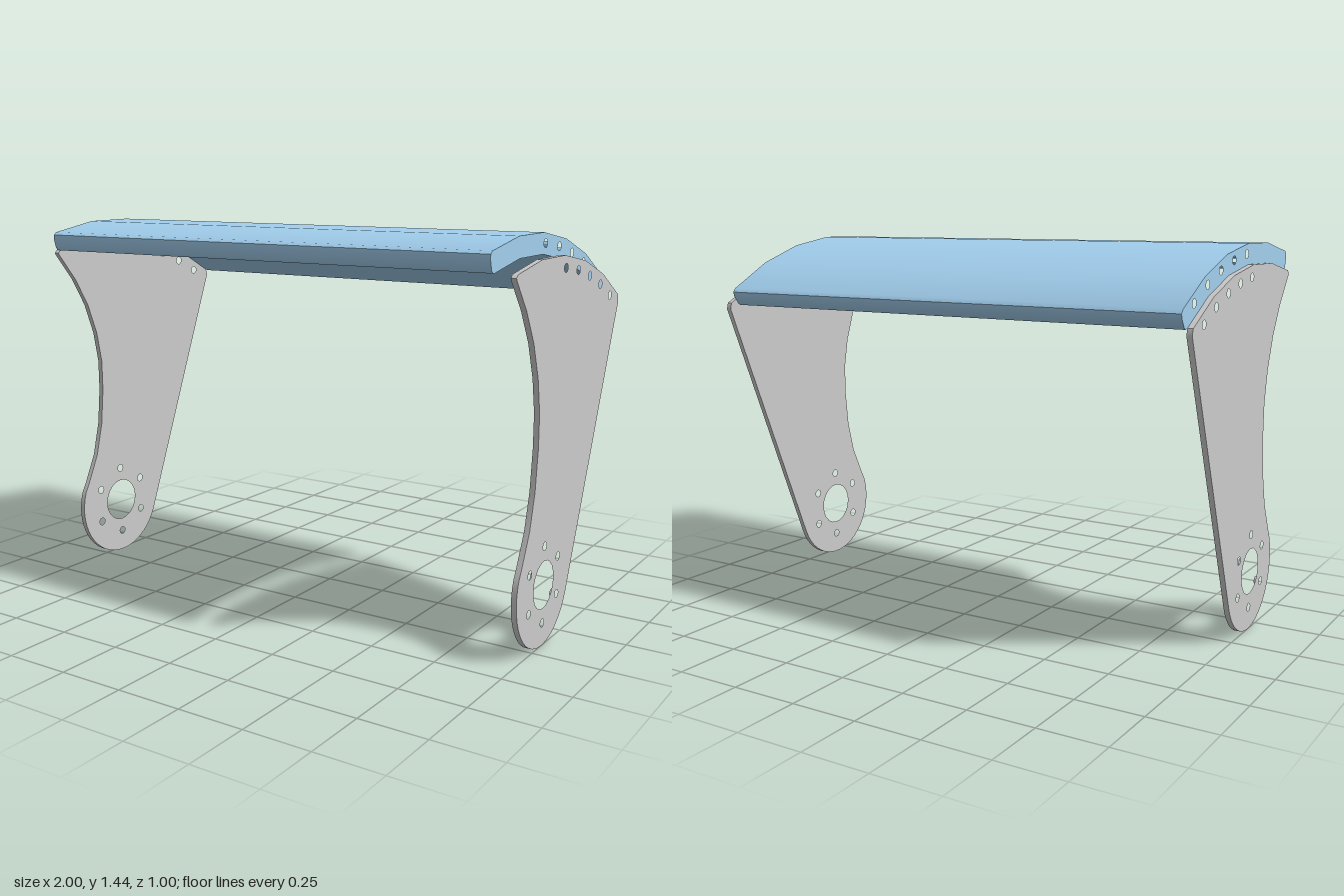
import * as THREE from 'three';
import { toCreasedNormals } from 'three/addons/utils/BufferGeometryUtils.js';

// Profiles are drawn with u = -z and v = y; most points are polar about the hub.
const HUB_Z = 0.17, HUB_Y = 0.226;
const R_IN = 1.142, R_OUT = 1.216, ARC_START = 15, ARC_END = -32.8;

// Angle in degrees from straight up, positive towards the front.
function polar(r, deg) {
  const a = THREE.MathUtils.degToRad(deg);
  return new THREE.Vector2(-(HUB_Z + r * Math.sin(a)), HUB_Y + r * Math.cos(a));
}

function arc(r, from, to, steps) {
  return Array.from({ length: steps + 1 }, (_, i) => polar(r, from + (to - from) * i / steps));
}

function addHole(shape, centre, radius) {
  const hole = new THREE.Path();
  hole.absarc(centre.x, centre.y, radius, 0, Math.PI * 2, true);
  shape.holes.push(hole);
}

// Row of five screw holes along the rear half of the arc
function addScrewRow(shape, r) {
  for (let i = 0; i < 5; i++) addHole(shape, polar(r, -4.95 - 5.96 * i), 0.0155);
}

// Extrude a profile along x
function extrude(name, shape, x0, x1, material) {
  const geometry = new THREE.ExtrudeGeometry(shape, { depth: x1 - x0, bevelEnabled: false, curveSegments: 10 });
  geometry.rotateY(Math.PI / 2);
  geometry.translate(x0, 0, 0);
  const mesh = new THREE.Mesh(toCreasedNormals(geometry, 0.65), material);
  mesh.name = name;
  return mesh;
}

function armShape() {
  // Concave front edge from hub to top, as [z, y]
  const frontEdge = [
    [0.364, 0.336], [0.307, 0.454], [0.273, 0.584], [0.258, 0.729], [0.258, 0.851],
    [0.281, 0.973], [0.326, 1.095], [0.391, 1.206], [0.474, 1.31], [0.478, 1.318],
  ].map(([z, y]) => new THREE.Vector2(-z, y));
  const shape = new THREE.Shape([
    ...arc(R_IN, ARC_START, ARC_END, 5),
    new THREE.Vector2(0.453, 1.174),
    new THREE.Vector2(0.455, 1.16),
    ...arc(0.226, -112.3, -290, 24), // rounded hub end
    ...frontEdge,
  ]);
  // Hub bore and its bolt circle
  addHole(shape, polar(0, 0), 0.087);
  for (let i = 0; i < 6; i++) addHole(shape, polar(0.141, i * 60), 0.0155);
  addScrewRow(shape, 1.1);
  return shape;
}

function coverShape() {
  // Curved slab with rounded corners
  const shape = new THREE.Shape([
    ...arc(R_OUT, ARC_START, ARC_END, 5),
    polar(R_OUT - 0.006, -33.55), polar(R_OUT - 0.02, -33.8),
    polar(R_IN + 0.016, -33.8), polar(R_IN + 0.004, -33.5),
    ...arc(R_IN, ARC_END, ARC_START, 5),
    polar(R_IN + 0.004, 15.7), polar(R_IN + 0.016, 16),
    polar(R_OUT - 0.02, 16), polar(R_OUT - 0.006, 15.75),
  ]);
  addScrewRow(shape, 1.18);
  return shape;
}

export function createModel() {
  const group = new THREE.Group();
  group.name = 'pivotingCover';
  const grey = new THREE.MeshStandardMaterial({ color: 0xcccccc });
  const blue = new THREE.MeshStandardMaterial({ color: 0xa2cfee });

  // Side arms and the cover, which stops short of the left arm
  const arm = armShape();
  group.add(
    extrude('rightArm', arm, -1, -0.98, grey),
    extrude('leftArm', arm, 0.98, 1, grey),
    extrude('curvedCover', coverShape(), -0.98, 0.92, blue),
  );
  return group;
}
